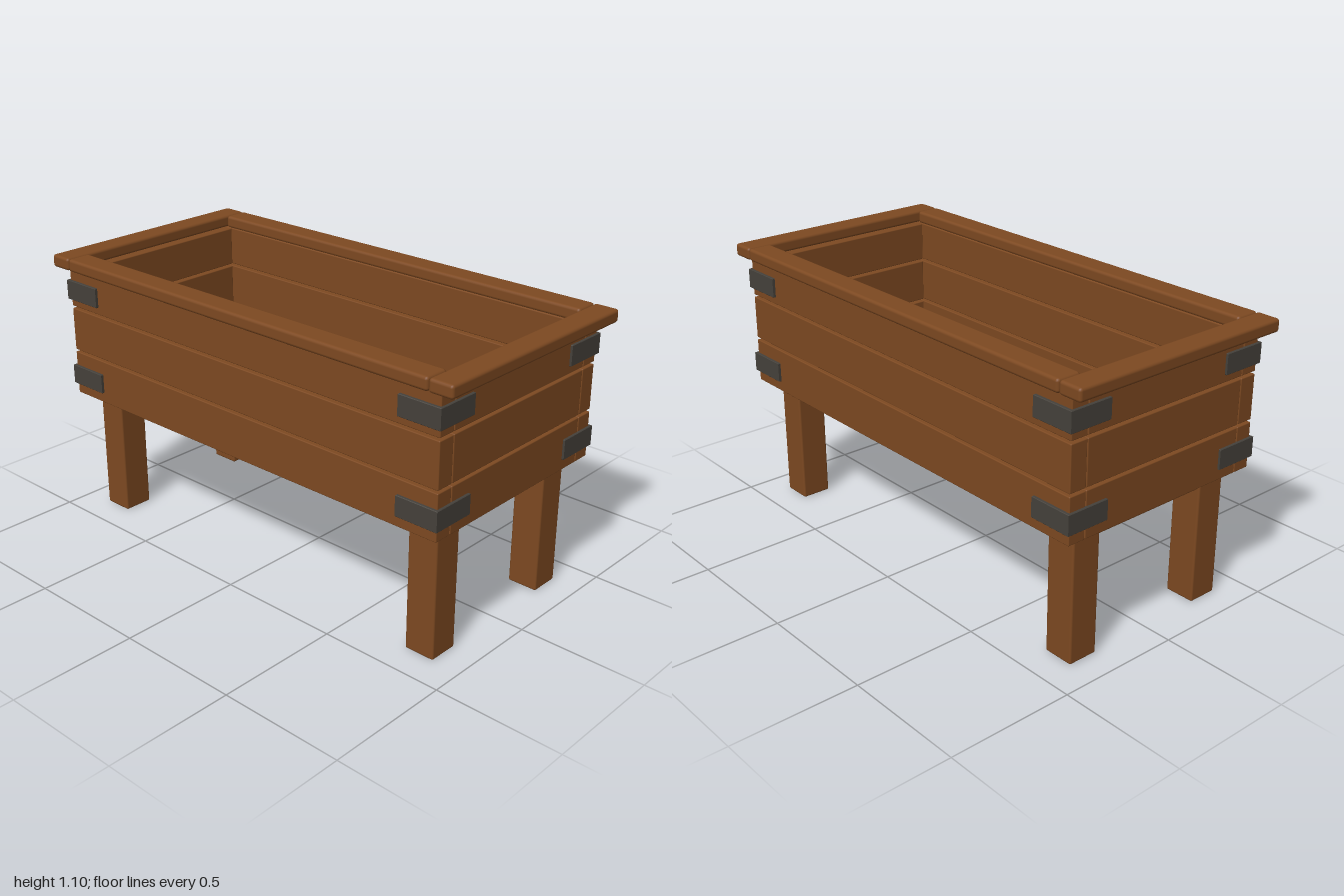
import * as THREE from 'three';
import { RoundedBoxGeometry } from 'three/addons/geometries/RoundedBoxGeometry.js';

export function createModel() {
  const model = new THREE.Group();
  model.name = 'raisedPlanter';
  const wood = new THREE.MeshStandardMaterial({ color: 0x7d4921 });
  wood.name = 'brown wood';
  const iron = new THREE.MeshStandardMaterial({ color: 0x45413b });
  iron.name = 'dark iron';

  // Softly rounded board given by its two opposite corners
  function board(name, [x0, y0, z0], [x1, y1, z1], radius) {
    const geometry = new RoundedBoxGeometry(x1 - x0, y1 - y0, z1 - z0, 2, radius);
    const mesh = new THREE.Mesh(geometry, wood);
    mesh.position.set((x0 + x1) / 2, (y0 + y1) / 2, (z0 + z1) / 2);
    mesh.name = name;
    model.add(mesh);
  }

  // Walls: three courses of boards with narrow gaps between them
  for (const [y0, y1] of [[0.519, 0.699], [0.709, 0.886], [0.896, 1.056]]) {
    board('frontBoard', [-0.935, y0, 0.377], [0.935, y1, 0.45], 0.004);
    board('backBoard', [-0.935, y0, -0.45], [0.935, y1, -0.377], 0.004);
    board('leftBoard', [0.865, y0, -0.375], [0.935, y1, 0.375], 0.004);
    board('rightBoard', [-0.935, y0, -0.375], [-0.865, y1, 0.375], 0.004);
  }

  // Floor slats
  for (let i = -2; i <= 2; i++) {
    const x = i * 0.351;
    board('floorSlat', [x - 0.172, 0.469, -0.376], [x + 0.172, 0.52, 0.376], 0.003);
  }

  // Rim laid flat on the walls
  board('frontRim', [-0.9, 1.053, 0.38], [0.9, 1.104, 0.481], 0.012);
  board('backRim', [-0.9, 1.053, -0.481], [0.9, 1.104, -0.38], 0.012);
  board('leftRim', [0.902, 1.053, -0.481], [1, 1.104, 0.481], 0.012);
  board('rightRim', [-1, 1.053, -0.481], [-0.902, 1.104, 0.481], 0.012);

  // L-shaped corner bracket, outlined in plan and raised upward
  function bracket(sx, sz, y0, y1) {
    const plan = [
      [0.942, 0.459], [0.769, 0.459], [0.769, 0.445],
      [0.928, 0.445], [0.928, 0.284], [0.942, 0.284],
    ];
    const shape = new THREE.Shape(plan.map(([x, z]) => new THREE.Vector2(x * sx, -z * sz)));
    const b = 0.002;
    const geometry = new THREE.ExtrudeGeometry(shape, {
      depth: y1 - y0 - 2 * b, bevelThickness: b, bevelSize: b, bevelSegments: 1,
    });
    geometry.rotateX(-Math.PI / 2);
    const mesh = new THREE.Mesh(geometry, iron);
    mesh.position.y = y0 + b;
    mesh.name = 'cornerBracket';
    model.add(mesh);
  }

  // Legs and brackets at each corner
  for (const sx of [-1, 1]) {
    for (const sz of [-1, 1]) {
      const x = sx * 0.823, z = sz * 0.314;
      board('leg', [x - 0.062, 0, z - 0.062], [x + 0.062, 0.519, z + 0.062], 0.008);
      bracket(sx, sz, 0.562, 0.642);
      bracket(sx, sz, 0.926, 1.006);
    }
  }
  return model;
}
